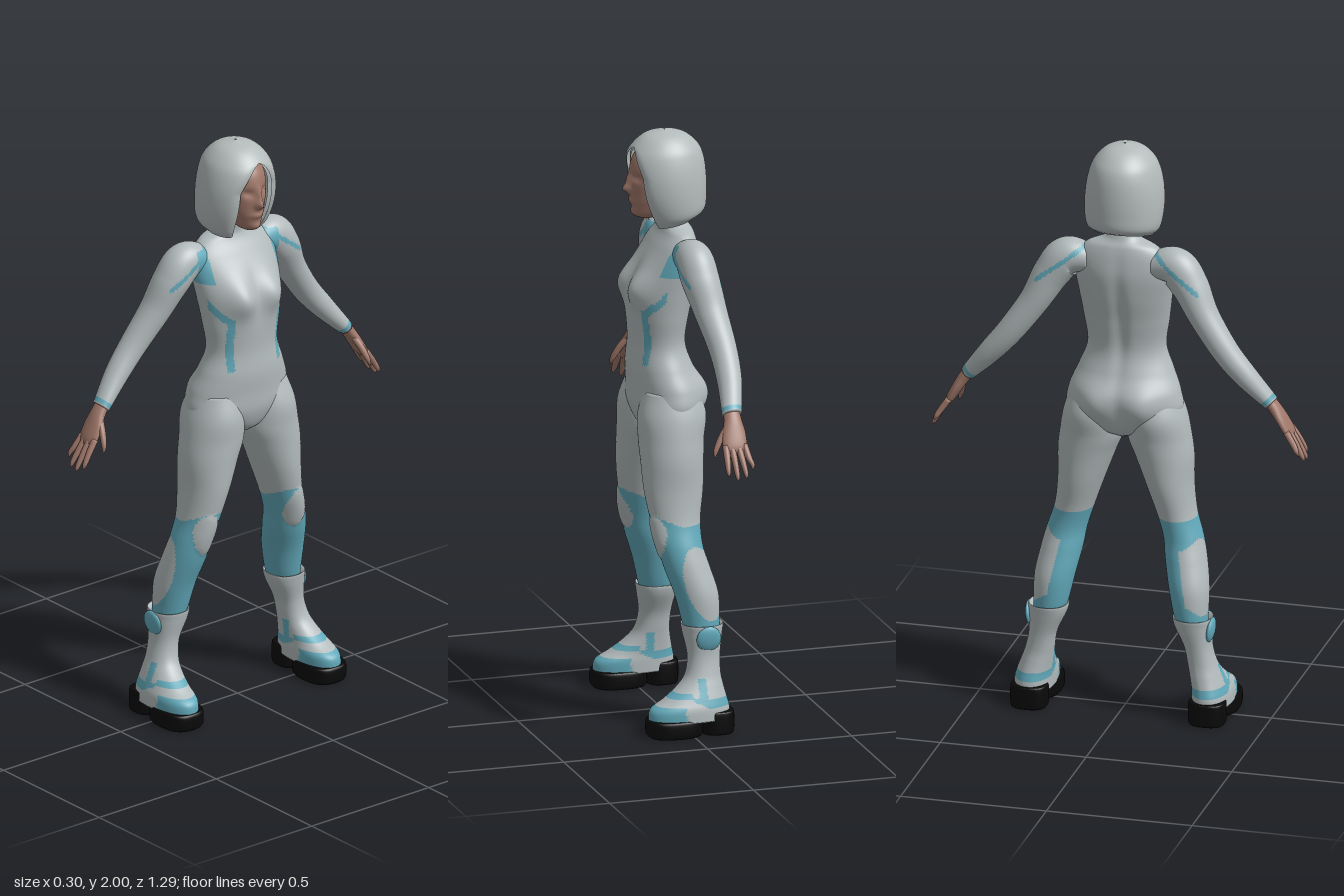
import * as THREE from 'three';

const mat = (name, color, side = THREE.FrontSide) => {
  const m = new THREE.MeshStandardMaterial({ color, side });
  m.name = name;
  return m;
};

// Smooth loft through sections [y, z, x, halfWidth, halfDepth]; the figure looks along +x.
// Options: side mirrors z, tilt turns rings square to the path, power squares them off,
// arc(y) limits the angle, shape(v) sculpts, paint(v) picks a material per face.
function loft(name, mats, sections, o = {}) {
  const { side = 1, tilt = false, power = 1, rows = 40, cols = 40, arc, shape, paint } = o;
  const path = new THREE.CatmullRomCurve3(sections.map(([y, z, x]) => new THREE.Vector3(x, y, z)), false, 'catmullrom', 0.5);
  const size = new THREE.CatmullRomCurve3(sections.map(s => new THREE.Vector3(s[3], s[4], 0)), false, 'catmullrom', 0.5);
  const pts = [], tris = [];
  const bend = v => Math.sign(v) * Math.abs(v) ** power;
  for (let i = 0; i <= rows; i++) {
    const c = path.getPoint(i / rows), r = size.getPoint(i / rows);
    const t = path.getTangent(i / rows);
    const n = tilt ? new THREE.Vector3(0, -t.z, t.y).normalize() : new THREE.Vector3(0, 0, 1);
    const [a0, a1] = arc ? arc(c.y) : [0, Math.PI * 2];
    for (let j = 0; j < cols; j++) {
      const a = a0 + (a1 - a0) * j / (arc ? cols - 1 : cols);
      const v = c.clone().addScaledVector(n, Math.max(r.x, 0.001) * bend(Math.sin(a)));
      v.x += Math.max(r.y, 0.001) * bend(Math.cos(a));
      if (shape) shape(v, a, j / (cols - 1));
      pts.push(v);
    }
  }
  const wrap = arc ? cols - 1 : cols;
  for (let i = 0; i < rows; i++) for (let j = 0; j < wrap; j++) {
    const a = i * cols + j, b = i * cols + (j + 1) % cols;
    tris.push([a, b, b + cols], [a, b + cols, a + cols]);
  }
  // close both ends
  if (!arc) for (const row of [0, rows]) {
    const mid = pts.push(path.getPoint(row / rows)) - 1;
    for (let j = 0; j < cols; j++) {
      const a = row * cols + j, b = row * cols + (j + 1) % cols;
      tris.push(row ? [a, b, mid] : [b, a, mid]);
    }
  }
  const lists = mats.map(() => []);
  const centre = new THREE.Vector3();
  for (const t of tris) {
    centre.copy(pts[t[0]]).add(pts[t[1]]).add(pts[t[2]]).divideScalar(3);
    lists[paint ? paint(centre) : 0].push(t);
  }
  for (const p of pts) p.z *= side;
  // face the surface outwards whatever the path direction
  const cross = new THREE.Vector3();
  let volume = 0;
  for (const [a, b, c] of tris) volume += pts[a].dot(cross.crossVectors(pts[b], pts[c]));
  const g = new THREE.BufferGeometry().setFromPoints(pts);
  const index = [];
  lists.forEach((list, k) => {
    g.addGroup(index.length, list.length * 3, k);
    for (const [a, b, c] of list) index.push(...(volume < 0 ? [a, c, b] : [a, b, c]));
  });
  g.setIndex(index);
  g.computeVertexNormals();
  const mesh = new THREE.Mesh(g, mats.length > 1 ? mats : mats[0]);
  mesh.name = name;
  return mesh;
}

const bump = (dy, dz, sy, sz) => Math.exp(-((dy / sy) ** 2) - (dz / sz) ** 2);

export function createModel() {
  const model = new THREE.Group();
  model.name = 'suitedFigure';
  const suit = mat('suit grey', 0xb2babb), teal = mat('suit teal', 0x62a9ba);
  const skin = mat('skin', 0x9f7769), black = mat('sole black', 0x090909);
  const hairMat = mat('hair grey', 0xb4bbbb, THREE.DoubleSide);
  const add = (...args) => model.add(loft(...args));

  // torso with bust, seat and painted seams
  add('torso', [suit, teal], [
    [0.97, 0, 0, 0.03, 0.05], [1.0, 0, -0.005, 0.1, 0.09], [1.06, 0, -0.005, 0.192, 0.113],
    [1.13, 0, -0.005, 0.19, 0.118], [1.2, 0, 0.012, 0.162, 0.105], [1.28, 0, 0.02, 0.134, 0.092],
    [1.38, 0, 0.015, 0.146, 0.1], [1.47, 0, 0, 0.158, 0.105], [1.55, 0, -0.02, 0.167, 0.095],
    [1.61, 0, -0.035, 0.16, 0.075], [1.655, 0, -0.045, 0.12, 0.055], [1.685, 0, -0.04, 0.058, 0.045],
    [1.74, 0, -0.025, 0.043, 0.045],
  ], {
    rows: 120, cols: 96,
    shape: (v, a) => {
      const z = Math.abs(v.z), c = Math.cos(a);
      if (c > 0) v.x += 0.04 * Math.sqrt(c) * bump(v.y - 1.475, z - 0.07, 0.065, 0.055);
      else {
        v.x -= 0.022 * Math.sqrt(-c) * bump(v.y - 1.1, z - 0.085, 0.07, 0.06);
        v.x += 0.012 * -c * bump(v.y - 1.38, z, 0.2, 0.025);
      }
    },
    paint: ({ x, y, z }) => {
      z = Math.abs(z);
      const seam = x > 0 && Math.abs(z - 0.1) < 0.011 && y > 1.22 && y < 1.4;
      const flank = x > 0.03 && z > 0.09 && Math.abs(y - 1.49 + x) < 0.017;
      const chest = x > -0.03 && z > 0.132 && y > 1.53 && y < 1.66;
      return seam || flank || chest ? 1 : 0;
    },
  });

  // head with modelled face
  add('head', [skin], [
    [1.7, 0, 0.05, 0.012, 0.02], [1.715, 0, 0.045, 0.034, 0.05], [1.75, 0, 0.032, 0.052, 0.074],
    [1.79, 0, 0.022, 0.066, 0.088], [1.85, 0, 0.012, 0.077, 0.1], [1.91, 0, 0, 0.074, 0.1], [1.955, 0, -0.01, 0.05, 0.07],
  ], {
    rows: 60, cols: 60,
    shape: (v, a) => {
      if (Math.cos(a) < 0.3) return;
      const z = Math.abs(v.z);
      v.x += 0.022 * bump(v.y - 1.805, z, 0.016, 0.013) + 0.012 * bump(v.y - 1.835, z, 0.03, 0.01);
      v.x += 0.007 * bump(v.y - 1.765, z, 0.011, 0.024) + 0.008 * bump(v.y - 1.722, z, 0.014, 0.025);
      v.x -= 0.011 * bump(v.y - 1.848, z - 0.033, 0.014, 0.018);
    },
  });

  // bob hair, open over the face; an inner layer gives it thickness
  const hairRings = [
    [1.69, 0, -0.025, 0.1, 0.085], [1.72, 0, -0.028, 0.124, 0.115], [1.78, 0, -0.016, 0.133, 0.133],
    [1.85, 0, -0.009, 0.13, 0.139], [1.91, 0, -0.008, 0.117, 0.131], [1.95, 0, -0.01, 0.098, 0.109],
    [1.985, 0, -0.01, 0.06, 0.066], [2.0, 0, -0.01, 0.003, 0.003],
  ];
  const opening = y => Math.sqrt(THREE.MathUtils.clamp((1.945 - y) / 0.09, 0, 1));
  const hairOptions = {
    rows: 48, cols: 60,
    arc: y => [-0.1 + 0.68 * opening(y), Math.PI * 2 - 0.1 - 0.58 * opening(y)],
    shape: (v, a, u) => {
      const low = THREE.MathUtils.clamp((1.78 - v.y) / 0.09, 0, 1);
      v.y -= 0.018 * low * Math.cos(a);
      // curl the front edges towards the face
      const edge = Math.max(0, 1 - Math.min(u, 1 - u) / 0.05) ** 2 * opening(v.y);
      v.x -= 0.012 * edge;
      v.z *= 1 - 0.1 * edge;
    },
  };
  add('hair', [hairMat], hairRings, hairOptions);
  add('hairLining', [hairMat], hairRings.map(([y, z, x, a, b]) => [y - (y > 1.95 ? 0.015 : 0), z, x, a * 0.9, b * 0.9]), hairOptions);

  for (const side of [1, -1]) {
    const tag = side > 0 ? 'right' : 'left';

    // arm with shoulder line and cuff
    add(tag + 'Sleeve', [suit, teal], [
      [1.595, 0.11, -0.045, 0.045, 0.05], [1.595, 0.185, -0.053, 0.066, 0.062], [1.535, 0.237, -0.06, 0.062, 0.064],
      [1.44, 0.29, -0.078, 0.051, 0.056], [1.33, 0.368, -0.096, 0.045, 0.047], [1.245, 0.44, -0.095, 0.039, 0.042],
      [1.155, 0.52, -0.078, 0.026, 0.034],
    ], {
      side, tilt: true, rows: 100, cols: 52,
      paint: ({ x, y, z }) => {
        const line = z < 0.28 && Math.abs(y - 1.63 + 0.75 * (z - 0.14)) < 0.009;
        const patch = x > -0.035 && z < 0.172 && y > 1.54 && y < 1.64;
        const cuff = Math.abs(y - 0.8 * z - 0.758) < 0.009 && z > 0.45;
        return line || patch || cuff ? 1 : 0;
      },
    });

    // hand: palm, four fingers and thumb
    add(tag + 'Palm', [skin], [
      [1.165, 0.512, -0.078, 0.02, 0.027], [1.135, 0.535, -0.076, 0.02, 0.031], [1.1, 0.557, -0.073, 0.018, 0.04],
      [1.06, 0.58, -0.07, 0.015, 0.042], [1.04, 0.591, -0.07, 0.008, 0.035],
    ], { side, tilt: true, rows: 20, cols: 28 });
    [[-0.102, -0.118, 0.99], [-0.08, -0.092, 0.965], [-0.058, -0.062, 0.96], [-0.038, -0.033, 0.975]].forEach(([x0, x1, y1], i) => {
      const z1 = 0.64 - (y1 - 0.96) * 0.5;
      add(`${tag}Finger${i + 1}`, [skin], [
        [1.065, 0.578, x0, 0.011, 0.012], [1.025, 0.605, (x0 + x1) / 2, 0.0105, 0.011],
        [y1 + 0.015, z1 - 0.007, x1, 0.008, 0.008], [y1, z1, x1, 0.002, 0.002],
      ], { side, tilt: true, rows: 14, cols: 12 });
    });
    add(tag + 'Thumb', [skin], [
      [1.125, 0.54, -0.06, 0.013, 0.015], [1.09, 0.552, -0.032, 0.012, 0.013],
      [1.05, 0.563, -0.01, 0.009, 0.01], [1.025, 0.57, -0.003, 0.002, 0.002],
    ], { side, tilt: true, rows: 14, cols: 12 });

    // leg with knee pad and outer calf panel
    const knee = (y, z) => ((z - 0.192) / 0.046) ** 2 + ((y - 0.65) / 0.075) ** 2;
    add(tag + 'Leg', [suit, teal], [
      [1.13, 0.1, 0, 0.08, 0.09], [1.05, 0.108, 0, 0.1, 0.115], [0.97, 0.116, 0.005, 0.107, 0.11],
      [0.9, 0.133, 0.007, 0.098, 0.106], [0.8, 0.152, 0.008, 0.079, 0.1], [0.7, 0.175, 0.008, 0.067, 0.084],
      [0.62, 0.199, 0, 0.067, 0.076], [0.55, 0.213, -0.018, 0.07, 0.077], [0.46, 0.23, -0.046, 0.068, 0.074],
      [0.37, 0.24, -0.058, 0.058, 0.064], [0.33, 0.248, -0.06, 0.05, 0.055],
    ], {
      side, rows: 110, cols: 68,
      shape: (v, a) => {
        if (Math.cos(a) > 0 && knee(v.y, v.z) < 1) v.x += 0.01 * Math.sqrt(1 - knee(v.y, v.z));
      },
      paint: ({ x, y, z }) => {
        if (y > 0.69 + Math.max(0, x) * 0.4) return 0;
        if (x > 0.02 && knee(y, z) < 1) return 0;
        const outer = z > 0.315 - 0.19 * y;
        const panel = ((x + 0.058 - (y - 0.5) * 0.22) / 0.066) ** 2 + ((y - 0.5) / 0.125) ** 2 < 1;
        return outer && panel ? 0 : 1;
      },
    });

    // boot with teal toe and ankle strap
    add(tag + 'Boot', [suit, teal], [
      [0.35, 0.247, -0.06, 0.05, 0.055], [0.362, 0.247, -0.06, 0.066, 0.07], [0.33, 0.25, -0.06, 0.063, 0.066],
      [0.26, 0.266, -0.06, 0.047, 0.055], [0.2, 0.278, -0.054, 0.048, 0.059], [0.16, 0.288, -0.042, 0.053, 0.077],
      [0.12, 0.298, -0.02, 0.06, 0.108], [0.09, 0.303, 0, 0.066, 0.135], [0.05, 0.305, 0.002, 0.067, 0.14],
    ], {
      side, power: 0.9, rows: 76, cols: 60,
      paint: ({ x, y }) => {
        const toe = x > 0.03 && y < 0.105;
        const strap = y < 0.13 && Math.abs(y - 0.11 - Math.max(0, x + 0.05) * 0.5) < 0.014 && x < 0;
        const riser = y >= 0.11 && y < 0.19 && Math.abs(x + 0.035) < 0.014;
        const instep = x > 0 && Math.abs(y - 0.137) < 0.009;
        return toe || strap || riser || instep ? 1 : 0;
      },
    });

    // round badge plate on the outer boot top
    const disc = new THREE.Mesh(new THREE.SphereGeometry(0.043, 24, 12), teal);
    disc.name = tag + 'BootDisc';
    disc.scale.z = 0.3;
    disc.position.set(-0.065, 0.32, side * 0.31);
    disc.rotation.x = side * 0.12;
    model.add(disc);

    // sole in two blocks
    for (const [part, x, a, b, h] of [['FrontSole', 0.054, 0.073, 0.094, 0.058], ['HeelSole', -0.092, 0.062, 0.056, 0.078]]) {
      add(tag + part, [black], [
        [0, 0.305, x, a * 0.93, b * 0.93], [0.012, 0.305, x, a, b], [h - 0.01, 0.305, x, a, b], [h, 0.305, x, a * 0.94, b * 0.94],
      ], { side, power: 0.75, rows: 12, cols: 48 });
    }
  }
  return model;
}
